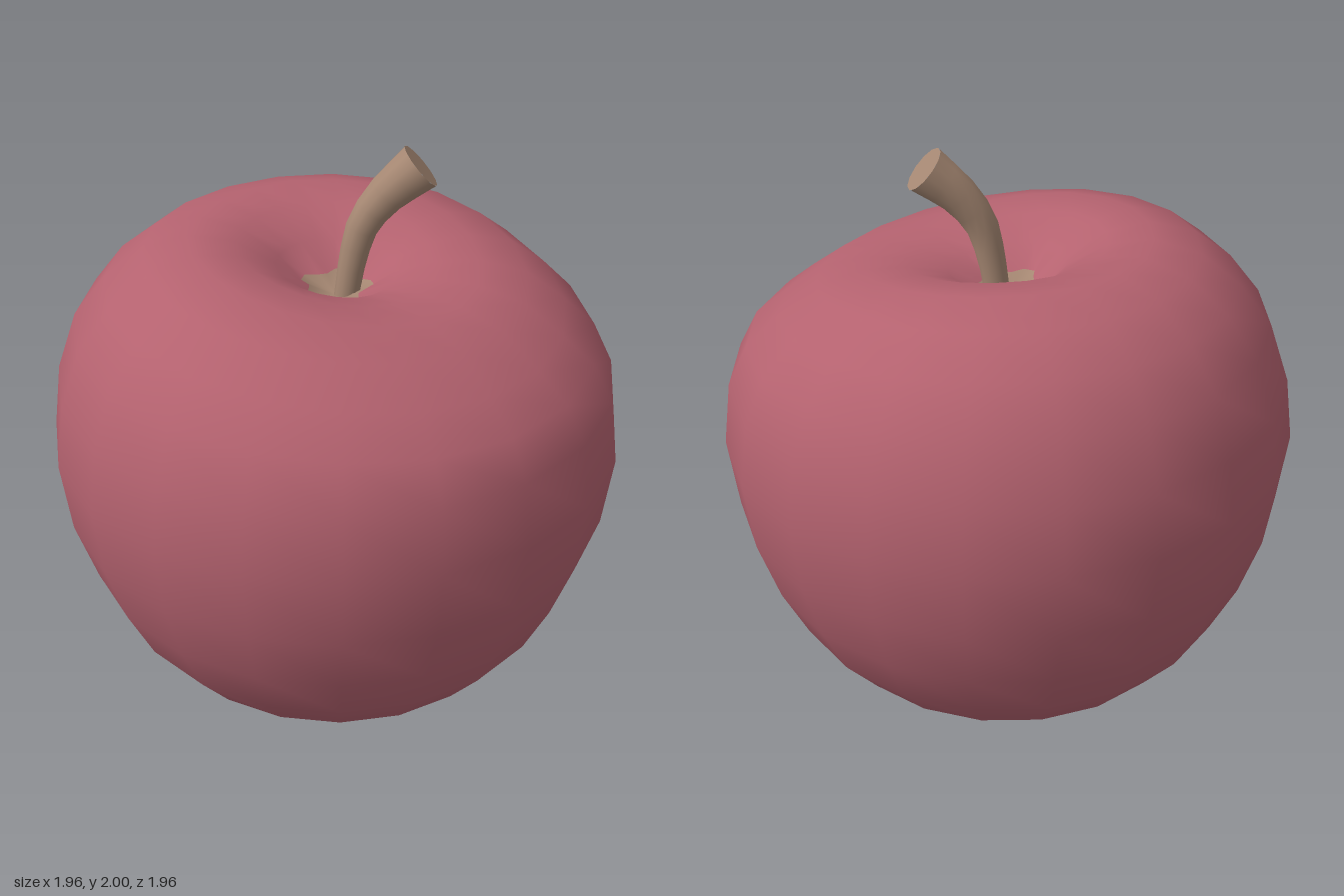
import * as THREE from 'three';
import { mergeVertices } from 'three/addons/utils/BufferGeometryUtils.js';

const mat = (name, color) => {
  const m = new THREE.MeshStandardMaterial({ color });
  m.name = name;
  return m;
};

const SIDES = 20;
// half profile from the underside basin to the pit of the stem: radius, height
const PROFILE = [
  [0, 0.13], [0.12, 0.11], [0.25, 0.055], [0.33, 0.022], [0.4, 0.022],
  [0.53, 0.085], [0.66, 0.18], [0.79, 0.34], [0.88, 0.53], [0.95, 0.75],
  [0.98, 1.0], [0.95, 1.22], [0.88, 1.42], [0.77, 1.56], [0.64, 1.66],
  [0.48, 1.705], [0.33, 1.68], [0.2, 1.6], [0.11, 1.52], [0, 1.48],
];
const LAST = PROFILE.length - 1;
const BASE_RINGS = 4; // rings of the dark underside

function createFruit(skin, dark, tan) {
  const raw = new THREE.LatheGeometry(PROFILE.map(p => new THREE.Vector2(...p)), SIDES);
  raw.deleteAttribute('uv');
  raw.deleteAttribute('normal');
  const pos = raw.attributes.position;
  const smooth = THREE.MathUtils.smoothstep;
  for (let i = 0; i < pos.count; i++) {
    let x = pos.getX(i), y = pos.getY(i), z = pos.getZ(i);
    const r = Math.hypot(x, z), a = Math.atan2(z, x);
    if (y < 0.2 && r < 0.5) {
      // five lobes around the underside
      const lobe = Math.cos(5 * (a - 0.96)), k = smooth(r, 0, 0.33);
      x = x * (1 + 0.1 * lobe * k) + 0.04 * k;
      z = z * (1 + 0.1 * lobe * k) + 0.01 * k;
      y -= 0.02 * lobe * k;
    } else if (y > 1.2) {
      // the shoulder sinks on the front left
      const w = ((1 + Math.cos(a - 0.7)) / 2) ** 2;
      y -= 0.13 * w * smooth(y, 1.2, 1.6) * smooth(r, 0.05, 0.45);
      if (r < 0.15) {
        const wave = 1 + 0.22 * Math.cos(5 * a + 0.6);
        x *= wave;
        z *= wave;
      }
    }
    pos.setXYZ(i, x, y, z);
  }
  const geo = mergeVertices(raw, 1e-4);

  // sort the faces into dark underside, skin and tan pit
  const parts = [[], [], []];
  const idx = Array.from(geo.index.array);
  for (let f = 0; f < idx.length; f += 6) {
    const ring = (f / 6) % LAST;
    const part = ring < BASE_RINGS ? 0 : ring < LAST - 1 ? 1 : 2;
    parts[part].push(...idx.slice(f, f + 6));
  }
  geo.setIndex(parts.flat());
  geo.clearGroups();
  let start = 0;
  parts.forEach((p, i) => {
    geo.addGroup(start, p.length, i);
    start += p.length;
  });
  geo.computeVertexNormals();
  const mesh = new THREE.Mesh(geo, [dark, skin, tan]);
  mesh.name = 'fruitBody';
  return mesh;
}

function createStem(material) {
  const group = new THREE.Group();
  group.name = 'stem';
  const curve = new THREE.CatmullRomCurve3([
    [0.03, 1.44], [0.055, 1.61], [0.09, 1.74], [0.16, 1.84], [0.272, 1.938],
  ].map(([x, y]) => new THREE.Vector3(x, y, 0)));
  const rings = 8, sides = 12;
  const radius = t => 0.042 + 0.04 * t ** 1.8;

  // tube widening towards the tip
  const geo = new THREE.TubeGeometry(curve, rings, 1, sides);
  const pos = geo.attributes.position, v = new THREE.Vector3();
  for (let i = 0; i < pos.count; i++) {
    const t = Math.floor(i / (sides + 1)) / rings;
    const c = curve.getPointAt(t);
    v.fromBufferAttribute(pos, i).sub(c).multiplyScalar(radius(t)).add(c);
    pos.setXYZ(i, v.x, v.y, v.z);
  }
  const stalk = new THREE.Mesh(geo, material);
  stalk.name = 'stalk';

  // flat cut end
  const cut = new THREE.Mesh(new THREE.CircleGeometry(radius(1), sides), material);
  cut.name = 'stalkEnd';
  cut.position.copy(curve.getPointAt(1));
  cut.quaternion.setFromUnitVectors(new THREE.Vector3(0, 0, 1), curve.getTangentAt(1));
  group.add(stalk, cut);
  return group;
}

export function createModel() {
  const skin = mat('red skin', 0xb4626f);
  const dark = mat('dark brown', 0x30221e);
  const tan = mat('tan wood', 0xa58772);
  const model = new THREE.Group();
  model.name = 'apple';
  model.add(createFruit(skin, dark, tan), createStem(tan));
  return model;
}
